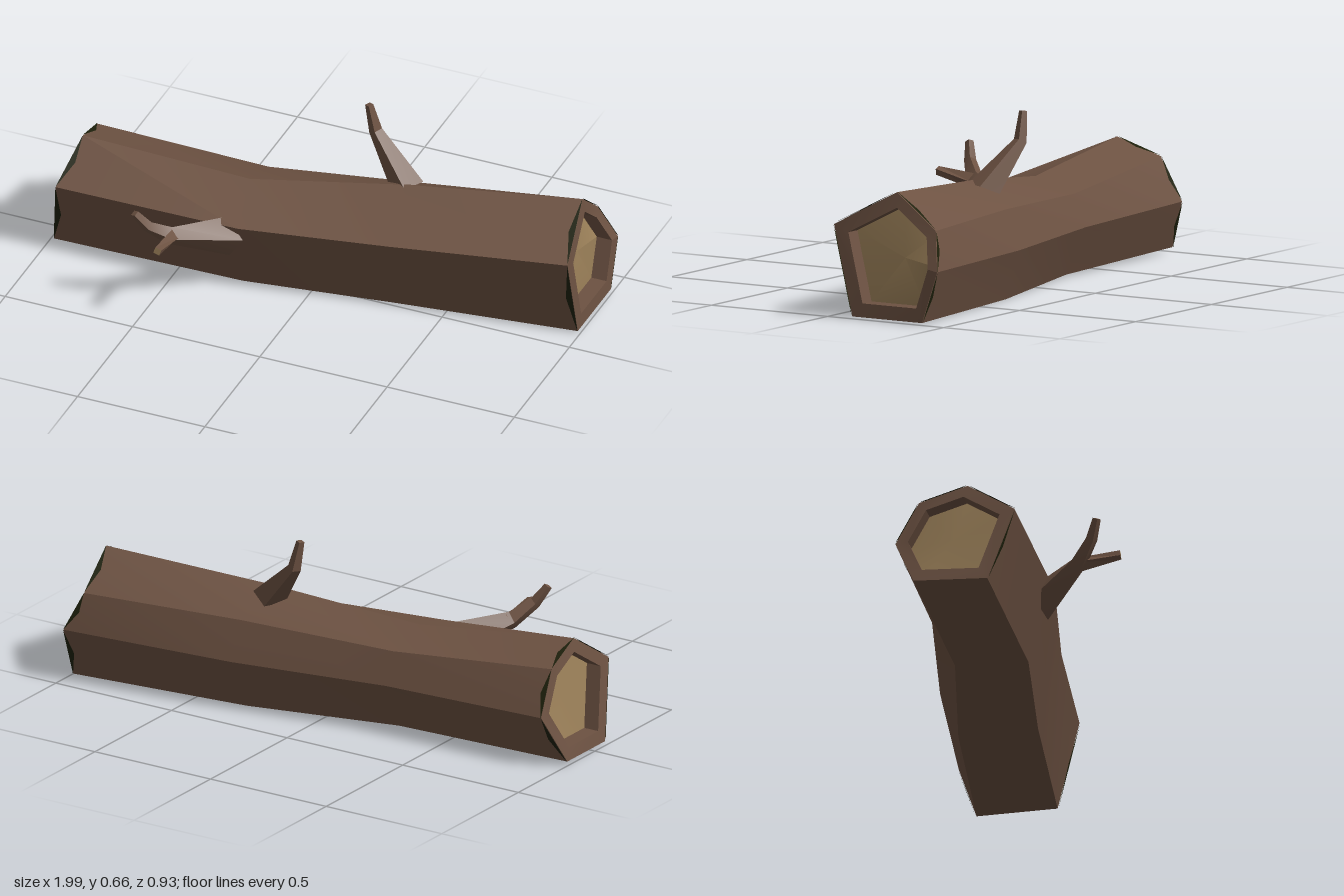
import * as THREE from 'three';
import { toCreasedNormals } from 'three/addons/utils/BufferGeometryUtils.js';

const V = (x, y, z) => new THREE.Vector3(x, y, z);

// Geometry from a flat list of triangle corners
function fromTriangles(points) {
  return toCreasedNormals(new THREE.BufferGeometry().setFromPoints(points), 0.35);
}

// Skin joining successive rings, each counter-clockwise about the direction of travel
function loft(rings) {
  const tris = [];
  for (let k = 0; k < rings.length - 1; k++) {
    const n = rings[k].length;
    for (let i = 0; i < n; i++) {
      const j = (i + 1) % n;
      const a = rings[k][i], b = rings[k][j], c = rings[k + 1][j], d = rings[k + 1][i];
      tris.push(a, b, c, a, c, d);
    }
  }
  return fromTriangles(tris);
}

const centre = ring => ring.reduce((s, p) => s.add(p), V(0, 0, 0)).divideScalar(ring.length);

// Fan closing a ring
function fan(ring) {
  const c = centre(ring), tris = [];
  ring.forEach((p, i) => tris.push(c, p, ring[(i + 1) % ring.length]));
  return fromTriangles(tris);
}

// Four-sided ring around a point, facing along a direction
function squareRing([x, y, z, r], dir) {
  const w = V(...dir).normalize();
  const u = V(0.3, 0.2, 1).cross(w).normalize();
  const v = w.clone().cross(u);
  return [0, 1, 2, 3].map(i => V(x, y, z)
    .addScaledVector(u, r * Math.cos(i * Math.PI / 2))
    .addScaledVector(v, r * Math.sin(i * Math.PI / 2)));
}

export function createModel() {
  const bark = new THREE.MeshStandardMaterial({ color: 0x6d5242 });
  const wood = new THREE.MeshStandardMaterial({ color: 0x9a7f58 });
  const moss = new THREE.MeshStandardMaterial({ color: 0x1e210c, side: THREE.DoubleSide });
  const model = new THREE.Group();
  model.name = 'fallenLog';
  const add = (name, geometry, material, parent = model) => {
    const mesh = new THREE.Mesh(geometry, material);
    mesh.name = name;
    parent.add(mesh);
  };

  // Trunk sections: front bottom, back bottom, back, upper back, top, upper front
  const sections = [
    [[-0.985, 0.01, 0.09], [-1, 0.02, -0.18], [-0.94, 0.2, -0.26], [-0.93, 0.36, -0.175], [-0.91, 0.42, 0], [-0.94, 0.297, 0.18]],
    [[-0.25, 0.01, 0.075], [-0.28, 0.01, -0.19], [-0.28, 0.19, -0.275], [-0.28, 0.31, -0.23], [-0.28, 0.36, -0.06], [-0.23, 0.295, 0.168]],
    [[0.3, 0.005, -0.015], [0.3, 0.003, -0.31], [0.32, 0.19, -0.382], [0.32, 0.335, -0.325], [0.3, 0.425, -0.16], [0.32, 0.3, 0.067]],
    [[0.99, 0.01, -0.1], [0.99, 0.01, -0.4], [0.99, 0.2, -0.465], [0.93, 0.34, -0.42], [0.94, 0.47, -0.26], [0.985, 0.34, -0.018]],
  ].map(s => s.map(p => V(...p)));
  const last = sections.length - 1;

  // Rims and shallow hollows at both ends
  const inset = (ring, dx) => {
    const c = centre(ring);
    return ring.map(p => p.clone().lerp(c, 0.23).add(V(dx, 0, 0)));
  };
  const left = inset(sections[0], 0.06), right = inset(sections[last], -0.06);
  add('trunk', loft([left, inset(sections[0], 0), ...sections, inset(sections[last], 0), right]), bark);
  add('leftCutFace', fan([...left].reverse()), wood);
  add('rightCutFace', fan(right), wood);

  // Thin dark moss slivers along the rims
  const slivers = [];
  for (const [end, next] of [[0, 1], [last, last - 1]]) {
    const ring = sections[end], c = centre(ring);
    const lift = p => p.clone().add(V(0, p.y - c.y, p.z - c.z).setLength(0.003));
    ring.forEach((a, i) => {
      if (i === 0) return;
      const j = (i + 1) % ring.length, b = ring[j];
      const rim = a.clone().lerp(b, 0.5);
      const inner = sections[next][i].clone().lerp(sections[next][j], 0.5);
      const tip = rim.lerp(inner, 0.035);
      const out = lift(tip).sub(tip);
      slivers.push(a.clone().add(out), b.clone().add(out), tip.clone().add(out));
    });
  }
  add('rimMoss', fromTriangles(slivers), moss);

  // Branches: each row is x, y, z, radius followed by the ring's direction
  const branch = (name, rows, tipMaterial) => {
    const group = new THREE.Group();
    group.name = name;
    const rings = rows.map(([p, d]) => squareRing(p, d));
    add(name + 'Bark', loft(rings), bark, group);
    add(name + 'Tip', fan(rings[rings.length - 1]), tipMaterial, group);
    model.add(group);
  };
  branch('upperBranch', [
    [[0.275, 0.395, -0.2, 0.062], [-0.35, 1, -0.2]],
    [[0.127, 0.555, -0.26, 0.025], [-0.5, 1, -0.15]],
    [[0.103, 0.662, -0.257, 0.015], [-0.15, 1, 0]],
  ], bark);
  branch('frontBranch', [
    [[-0.28, 0.235, 0.14, 0.075], [-0.4, 0.1, 1]],
    [[-0.44, 0.295, 0.305, 0.034], [-0.7, 0.4, 0.8]],
    [[-0.5, 0.355, 0.365, 0.022], [-0.6, 0.7, 0.5]],
    [[-0.538, 0.418, 0.393, 0.015], [-0.4, 0.8, 0.3]],
  ], bark);
  branch('frontTwig', [
    [[-0.43, 0.29, 0.285, 0.03], [-0.1, 0.2, 1]],
    [[-0.422, 0.32, 0.455, 0.017], [0.1, 0.1, 1]],
  ], wood);

  return model;
}
